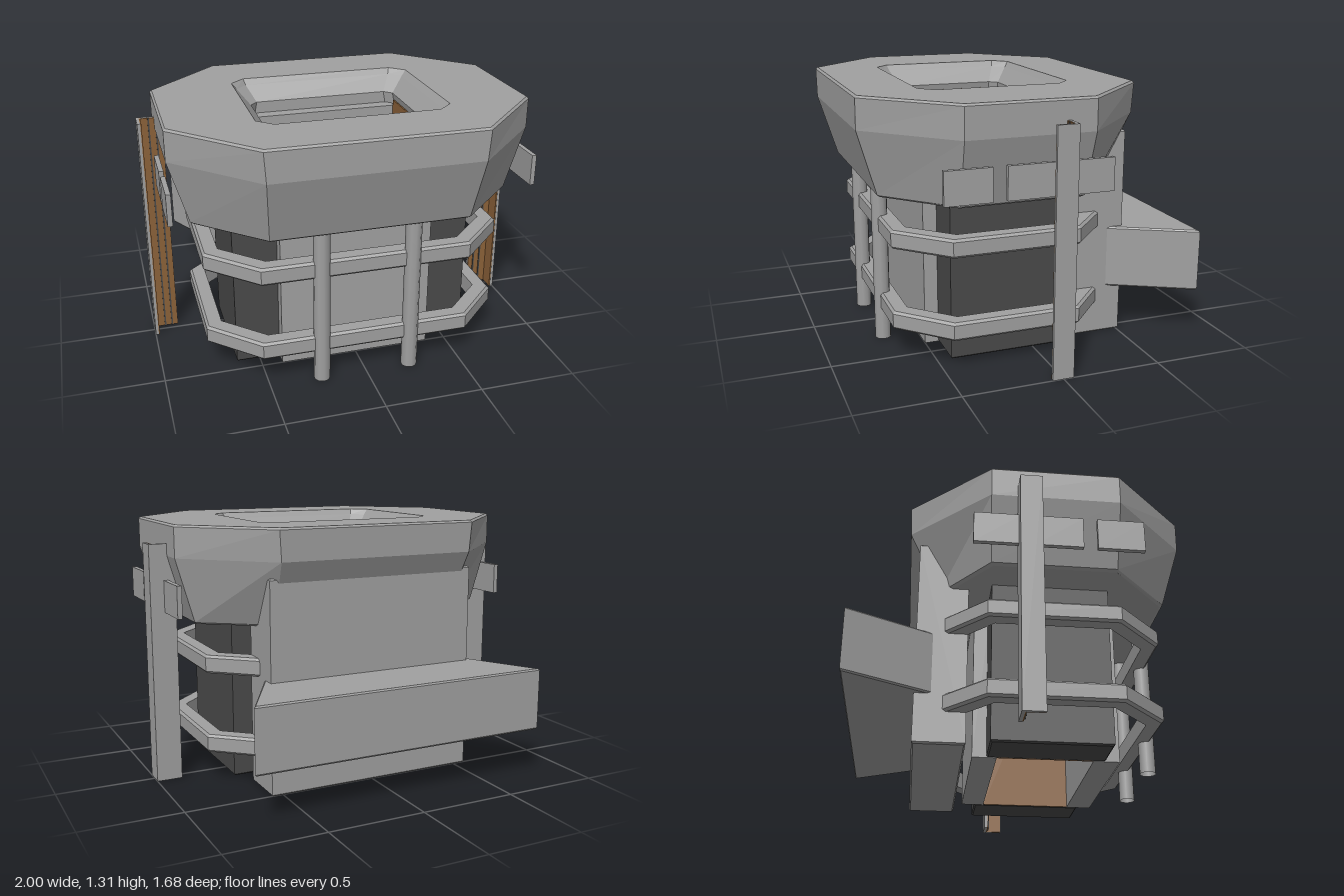
import * as THREE from 'three';

export function createModel() {
  const model = new THREE.Group();
  const gray = new THREE.MeshStandardMaterial({ name: 'steel gray', color: 0xa0a0a0 });
  const grayOpen = new THREE.MeshStandardMaterial({ name: 'tube gray', color: 0xa0a0a0, side: THREE.DoubleSide });
  const dark = new THREE.MeshStandardMaterial({ name: 'charcoal', color: 0x4a4a4a });
  const brown = new THREE.MeshStandardMaterial({ name: 'rust brown', color: 0x8c6239 });

  const add = (name, geometry, material) => {
    const mesh = new THREE.Mesh(geometry, material);
    mesh.name = name;
    model.add(mesh);
    return mesh;
  };

  // Box given by its limits on each axis
  const box = (name, x0, x1, y0, y1, z0, z1, material) => add(name,
    new THREE.BoxGeometry(x1 - x0, y1 - y0, z1 - z0)
      .translate((x0 + x1) / 2, (y0 + y1) / 2, (z0 + z1) / 2), material);

  // Same box on both sides
  const pair = (name, x0, x1, ...rest) => {
    box(name + 'Left', x0, x1, ...rest);
    box(name + 'Right', -x1, -x0, ...rest);
  };

  // Prism with a bevelled edge from a plan outline of [x, z] corners
  const prism = (name, outline, y0, y1, material, bevel = 0.008) => {
    const shape = new THREE.Shape(outline.map(([x, z]) => new THREE.Vector2(x, -z)));
    const g = new THREE.ExtrudeGeometry(shape, {
      depth: y1 - y0 - 2 * bevel, bevelThickness: bevel, bevelSize: bevel,
      bevelOffset: -bevel, bevelSegments: 1,
    });
    return add(name, g.rotateX(-Math.PI / 2).translate(0, y0 + bevel, 0), material);
  };

  // Eight-cornered ring: half width x, front/back z, and where the corners are cut
  const octagon = (y, x, front, back, cutX, cutFront, cutBack) => [
    [cutX, y, front], [x, y, cutFront], [x, y, cutBack], [cutX, y, back],
    [-cutX, y, back], [-x, y, cutBack], [-x, y, cutFront], [-cutX, y, front],
  ];

  // Closed surface through a cycle of rings, with flat faces
  const loft = (name, rings, material) => {
    const p = [];
    rings.forEach((a, k) => {
      const b = rings[(k + 1) % rings.length];
      for (let i = 0; i < 8; i++) {
        const j = (i + 1) % 8;
        p.push(...a[i], ...a[j], ...b[j], ...a[i], ...b[j], ...b[i]);
      }
    });
    const g = new THREE.BufferGeometry();
    g.setAttribute('position', new THREE.Float32BufferAttribute(p, 3));
    g.computeVertexNormals();
    return add(name, g, material);
  };

  // Octagonal hopper with a bevelled rectangular mouth
  loft('hopper', [
    octagon(0.82, 0.80, 0.73, -0.39, 0.49, 0.44, -0.16),
    octagon(0.83, 0.815, 0.745, -0.405, 0.495, 0.44, -0.17),
    octagon(1.15, 0.91, 0.84, -0.56, 0.52, 0.45, -0.18),
    octagon(1.30, 0.91, 0.84, -0.565, 0.53, 0.45, -0.18),
    octagon(1.31, 0.90, 0.83, -0.555, 0.525, 0.445, -0.175),
    octagon(1.31, 0.485, 0.52, -0.25, 0.41, 0.45, -0.18),
    octagon(1.28, 0.46, 0.50, -0.23, 0.40, 0.44, -0.17),
    octagon(1.20, 0.395, 0.435, -0.17, 0.355, 0.395, -0.13),
    octagon(1.12, 0.41, 0.435, -0.17, 0.37, 0.395, -0.13),
    octagon(0.82, 0.41, 0.435, -0.17, 0.37, 0.395, -0.13),
  ], gray);

  // Rectangular shaft: light front and back walls, dark sides with rust linings
  box('shaftFrontWall', -0.395, 0.395, 0, 1.14, 0.37, 0.50, gray);
  box('shaftBackWall', -0.395, 0.395, 0, 1.14, -0.22, -0.10, gray);
  for (const s of [1, -1]) {
    prism(s > 0 ? 'shaftSideLeft' : 'shaftSideRight',
      s > 0 ? [[0.395, 0.43], [0.62, 0.43], [0.62, -0.15], [0.395, -0.15]]
        : [[-0.62, 0.43], [-0.395, 0.43], [-0.395, -0.15], [-0.62, -0.15]],
      0, 1.14, dark);
  }
  pair('shaftLining', 0.388, 0.396, 0.001, 1.17, -0.10, 0.37, brown);

  // Two octagonal bands around the shaft
  for (const [name, y] of [['lowerBand', 0.16], ['upperBand', 0.57]]) {
    const outer = (h, d) => octagon(h, 0.77 - d, 0.695 - d, -0.40 + d, 0.53 - d / 2, 0.46 - d / 2, -0.18 + d / 2);
    loft(name, [
      outer(y, 0.012), outer(y + 0.012, 0), outer(y + 0.08, 0), outer(y + 0.092, 0.012),
      outer(y + 0.092, 0.08), outer(y, 0.08),
    ], gray);
  }

  // Front support tubes
  for (const s of [1, -1]) {
    add(s > 0 ? 'frontTubeLeft' : 'frontTubeRight',
      new THREE.CylinderGeometry(0.041, 0.041, 0.86, 10, 1, true).translate(s * 0.232, 0.43, 0.68), grayOpen);
  }

  // Back slab and flared ledge
  prism('backSlab', [[-0.56, -0.26], [0.56, -0.26], [0.56, -0.51], [-0.56, -0.51]].reverse(), 0, 1.07, gray);
  prism('backLedge', [[-0.55, -0.41], [-0.78, -0.84], [0.78, -0.84], [0.55, -0.41]], 0.25, 0.57, gray);

  // Side uprights: outer plate and web, rust on the inside faces
  pair('uprightPlate', 0.985, 1.0, 0, 1.21, -0.052, 0.055, gray);
  pair('uprightWeb', 0.87, 0.985, 0, 1.21, -0.052, -0.036, gray);
  pair('uprightWebRust', 0.872, 0.985, 0.001, 1.209, -0.036, -0.03, brown);
  pair('uprightPlateRust', 0.979, 0.985, 0.001, 1.209, -0.03, 0.053, brown);
  for (const x of [0.898, 0.935]) {
    pair('uprightRib', x, x + 0.008, 0.001, 1.209, -0.03, -0.024, dark);
  }

  // Small plates along each side of the hopper
  for (const z of [0.325, 0.03, -0.265]) {
    pair('sidePlate', 0.906, 0.93, 0.87, 1.03, z, z + 0.227, gray);
  }
  return model;
}
